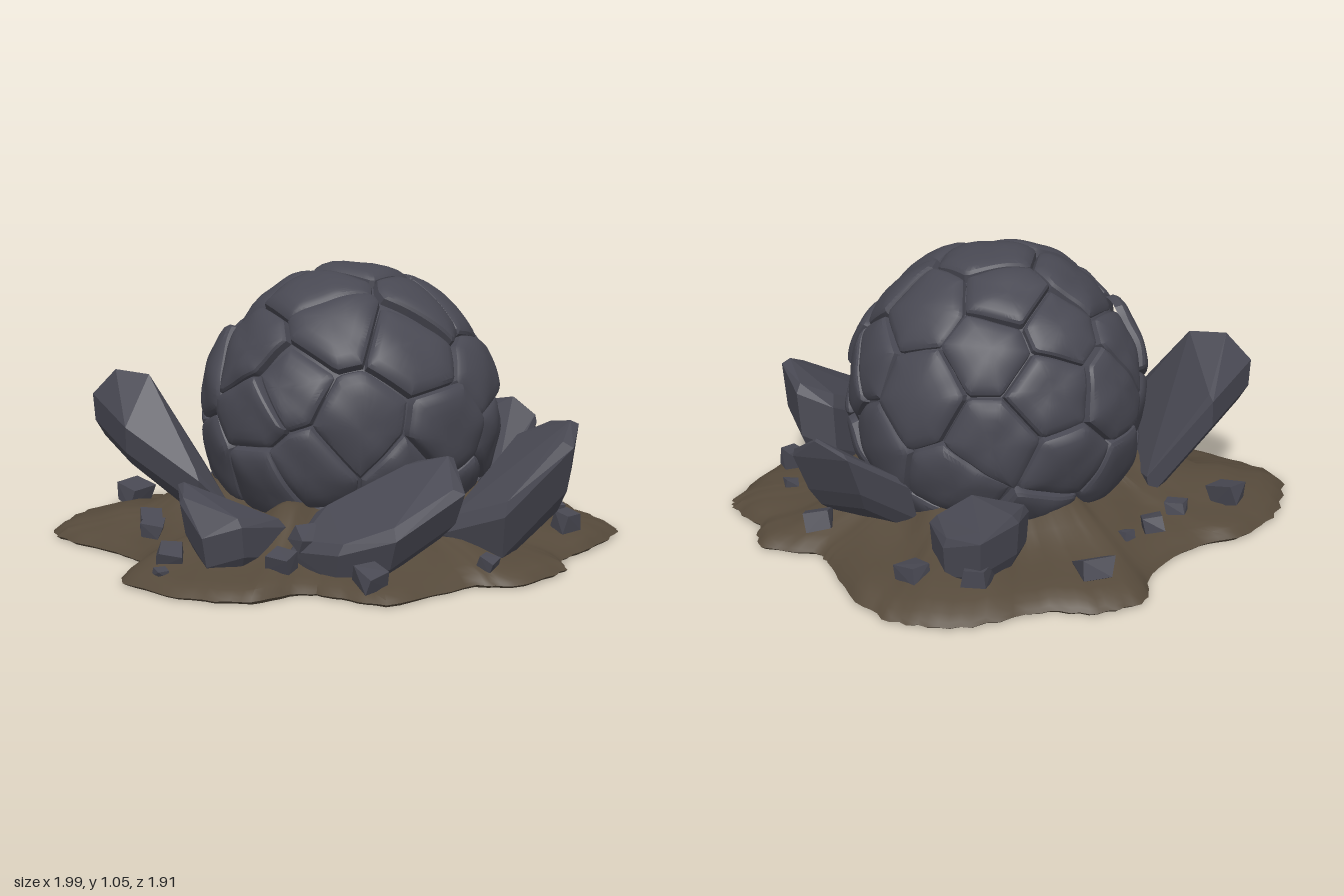
import * as THREE from 'three';
import { toCreasedNormals, mergeGeometries } from 'three/addons/utils/BufferGeometryUtils.js';
import { ConvexGeometry } from 'three/addons/geometries/ConvexGeometry.js';

const V = (x, y, z) => new THREE.Vector3(x, y, z);

function seeded(seed) {
  return () => {
    seed = (seed * 16807) % 2147483647;
    return seed / 2147483647;
  };
}

// Skin a surface over rows of points, each row a closed ring
function skin(rows, crease) {
  const n = rows[0].length, index = [];
  for (let i = 0; i < rows.length - 1; i++) {
    for (let j = 0; j < n; j++) {
      const k = (j + 1) % n, a = i * n + j, b = a + n, c = (i + 1) * n + k, d = i * n + k;
      index.push(a, b, c);
      if (i > 0) index.push(a, c, d);
    }
  }
  const g = new THREE.BufferGeometry().setFromPoints(rows.flat());
  g.setIndex(index);
  return toCreasedNormals(g, crease);
}

// Chipped slab: an outline of upper corners, hulled with its shifted underside
function slab(corners, shift) {
  const top = corners.map(c => V(...c));
  const mid = top.reduce((s, p) => s.add(p), V(0, 0, 0)).divideScalar(top.length);
  const down = V(...shift), pts = [];
  top.forEach((p, i) => {
    const inset = p.clone().lerp(mid, 0.1 + 0.06 * (i % 3));
    pts.push(inset, p.clone().addScaledVector(down, 0.15));
    pts.push(p.clone().lerp(mid, 0.05).addScaledVector(down, 0.75));
    pts.push(p.clone().lerp(mid, 0.2).add(down));
  });
  pts.forEach(p => { p.y = Math.max(p.y, 0.03); });
  return new ConvexGeometry(pts);
}

// Dirt mound with a ragged outline
function moundGeometry() {
  const outline = [
    [0.85, 0], [0.99, 0.2], [0.92, 0.33], [0.92, 0.52], [0.88, 0.6], [0.65, 0.72], [0.45, 0.79],
    [0.37, 0.89], [0.1, 0.94], [0, 0.87], [-0.38, 0.88], [-0.48, 0.72], [-0.55, 0.62], [-0.75, 0.61],
    [-0.92, 0.43], [-0.99, 0.15], [-0.84, 0.02], [-0.87, -0.2], [-0.94, -0.44], [-0.94, -0.56],
    [-0.72, -0.75], [-0.5, -0.81], [-0.3, -0.77], [-0.01, -0.83], [0.12, -0.95], [0.3, -0.92],
    [0.45, -0.8], [0.72, -0.72], [0.87, -0.58], [0.92, -0.4], [0.87, -0.1],
  ].reverse().map(([x, z]) => V(x, 0, z));
  const edge = new THREE.CatmullRomCurve3(outline, true, 'centripetal').getPoints(180).slice(0, -1);
  const rnd = seeded(31);
  edge.forEach(p => p.multiplyScalar(0.99 + 0.02 * rnd()));
  const profile = [[0, 0.2], [0.45, 0.2], [0.52, 0.19], [0.6, 0.15], [0.68, 0.115], [0.76, 0.09],
    [0.84, 0.07], [0.91, 0.055], [0.96, 0.04], [0.985, 0.022], [1, 0.01], [0.985, 0], [0, 0]];
  const rows = profile.map(([s, y]) => edge.map(p => {
    const x = p.x * s, z = p.z * s;
    const lump = s > 0 ? 1 + 0.2 * Math.sin(9 * x + 2) * Math.sin(10 * z + 1) + 0.08 * Math.sin(23 * x + 17 * z) : 1;
    return V(x, y * lump, z);
  }));
  return skin(rows, 0.7);
}

// Boulder plates: each is the cell around one site on the sphere
function plateGeometry(center, radius) {
  const rnd = seeded(77), count = 48, sites = [];
  for (let i = 0; i < count; i++) {
    const y = 1 - (2 * i + 1) / count, r = Math.sqrt(1 - y * y), a = i * 2.39996 + 0.4;
    const jitter = () => (rnd() - 0.5) * 0.26;
    sites.push(V(r * Math.cos(a) + jitter(), y + jitter(), r * Math.sin(a) + jitter()).normalize());
  }
  const segments = 60;
  // share of the cell's angle, height of the ring
  const rings = [[0, 0], [0.3, 0.001], [0.55, 0], [0.75, -0.003], [0.88, -0.009], [0.95, -0.018], [1, -0.045]];
  const plates = [];
  for (const n of sites) {
    const lift = (rnd() - 0.5) * 0.022;
    const tilt = V(rnd() - 0.5, rnd() - 0.5, rnd() - 0.5).multiplyScalar(0.1);
    if (n.y < -0.82) continue;
    const u = V(0, 1, 0).cross(n).normalize(), v = n.clone().cross(u);
    const rows = rings.map(() => []);
    for (let j = 0; j < segments; j++) {
      const a = j / segments * Math.PI * 2;
      const t = u.clone().multiplyScalar(Math.cos(a)).addScaledVector(v, Math.sin(a));
      let reach = 1;
      for (const m of sites) {
        const along = t.dot(m);
        if (m !== n && along > 0) reach = Math.min(reach, Math.atan((1 - n.dot(m)) / along));
      }
      rings.forEach(([s, h], i) => {
        const f = reach * s;
        const d = n.clone().multiplyScalar(Math.cos(f)).addScaledVector(t, Math.sin(f));
        const rough = 0.005 * Math.sin(d.x * 13 + 3 * d.y) * Math.sin(d.y * 15 + d.z * 11);
        const p = d.clone().multiplyScalar(radius + lift + h + rough + tilt.dot(d.clone().sub(n))).add(center);
        p.y = Math.max(p.y, 0.02);
        rows[i].push(p);
      });
    }
    plates.push(skin(rows, 0.45));
  }
  return mergeGeometries(plates);
}

export function createModel() {
  const group = new THREE.Group();
  const rock = new THREE.MeshStandardMaterial({ color: 0x484852 });
  rock.name = 'slate rock';
  const soil = new THREE.MeshStandardMaterial({ color: 0x564a3b });
  soil.name = 'brown soil';
  const add = (name, geometry, material) => {
    const mesh = new THREE.Mesh(geometry, material);
    mesh.name = name;
    group.add(mesh);
    return mesh;
  };

  add('mound', moundGeometry(), soil);

  // Cracked boulder: plates over a core that closes the cracks
  const center = V(0.06, 0.47, -0.015);
  add('boulderPlates', plateGeometry(center, 0.568), rock);
  add('boulderCore', new THREE.SphereGeometry(0.522, 40, 24, 0, Math.PI * 2, 0, 2.6), rock).position.copy(center);

  // Slabs pushed up around the boulder
  const slabs = {
    tallLeftSlab: [[[-0.79, 0.57, -0.5], [-0.73, 0.67, -0.42], [-0.65, 0.66, -0.3], [-0.5, 0.5, -0.6],
      [-0.3, 0.2, -0.47], [-0.45, 0.15, 0], [-0.6, 0.3, -0.01], [-0.78, 0.48, -0.24]], [0, -0.16, -0.02]],
    frontLeftSlab: [[[-0.51, 0.14, 0.48], [-0.35, 0.24, 0.4], [-0.02, 0.4, 0.5], [0.07, 0.43, 0.64],
      [0.0, 0.34, 0.8], [-0.3, 0.22, 0.82], [-0.44, 0.16, 0.68]], [0, -0.18, -0.05]],
    frontRightSlab: [[[0.03, 0.17, 0.62], [0.28, 0.28, 0.5], [0.54, 0.42, 0.4], [0.64, 0.47, 0.5],
      [0.59, 0.52, 0.7], [0.48, 0.46, 0.8], [0.14, 0.26, 0.84]], [0.02, -0.27, -0.05]],
    rightSlab: [[[0.58, 0.3, -0.17], [0.8, 0.45, -0.12], [0.85, 0.49, 0.02], [0.88, 0.4, 0.13],
      [0.72, 0.26, 0.2], [0.58, 0.18, 0.25]], [-0.08, -0.24, 0]],
    leftRock: [[[-0.79, 0.29, 0.2], [-0.74, 0.33, 0.09], [-0.5, 0.2, 0.1], [-0.47, 0.2, 0.38],
      [-0.68, 0.24, 0.44], [-0.79, 0.2, 0.36]], [0.02, -0.18, 0]],
    backRightRock: [[[0.28, 0.25, -0.5], [0.4, 0.28, -0.6], [0.6, 0.28, -0.65], [0.65, 0.22, -0.5],
      [0.61, 0.25, -0.36], [0.45, 0.31, -0.38]], [0, -0.2, 0]],
  };
  for (const [name, [corners, shift]] of Object.entries(slabs)) add(name, slab(corners, shift), rock);

  // Loose stones: x, y, z, half size
  const stones = [[-0.56, 0.1, -0.64, 0.07], [-0.33, 0.1, -0.61, 0.045], [-0.17, 0.1, -0.66, 0.05],
    [-0.04, 0.09, -0.66, 0.03], [0.2, 0.08, -0.77, 0.075], [0.58, 0.11, -0.6, 0.06], [0.72, 0.09, -0.42, 0.06],
    [-0.83, 0.08, 0.2, 0.06], [-0.57, 0.1, 0.52, 0.055], [0.72, 0.1, 0.43, 0.035], [0.6, 0.1, 0.63, 0.055],
    [0.08, 0.07, 0.83, 0.04], [-0.75, 0.11, -0.09, 0.045], [-0.9, 0.05, 0.27, 0.03], [-0.38, 0.08, 0.78, 0.055],
    [-0.7, 0.11, -0.2, 0.05], [0.8, 0.1, 0.1, 0.06], [-0.45, 0.15, 0.5, 0.06], [0.04, 0.18, 0.6, 0.05]];
  const rnd = seeded(5);
  for (const [x, y, z, r] of stones) {
    const pts = [];
    for (const sx of [-1, 1]) for (const sy of [-1, 1]) for (const sz of [-1, 1]) {
      const k = () => r * (0.55 + 0.4 * rnd());
      pts.push(V(sx * k(), sy * k() * 0.7, sz * k()));
    }
    const stone = add('looseStone', new ConvexGeometry(pts), rock);
    stone.position.set(x, y, z);
    stone.rotation.set(0.3 * rnd(), 3 * rnd(), 0.3 * rnd());
  }
  return group;
}
